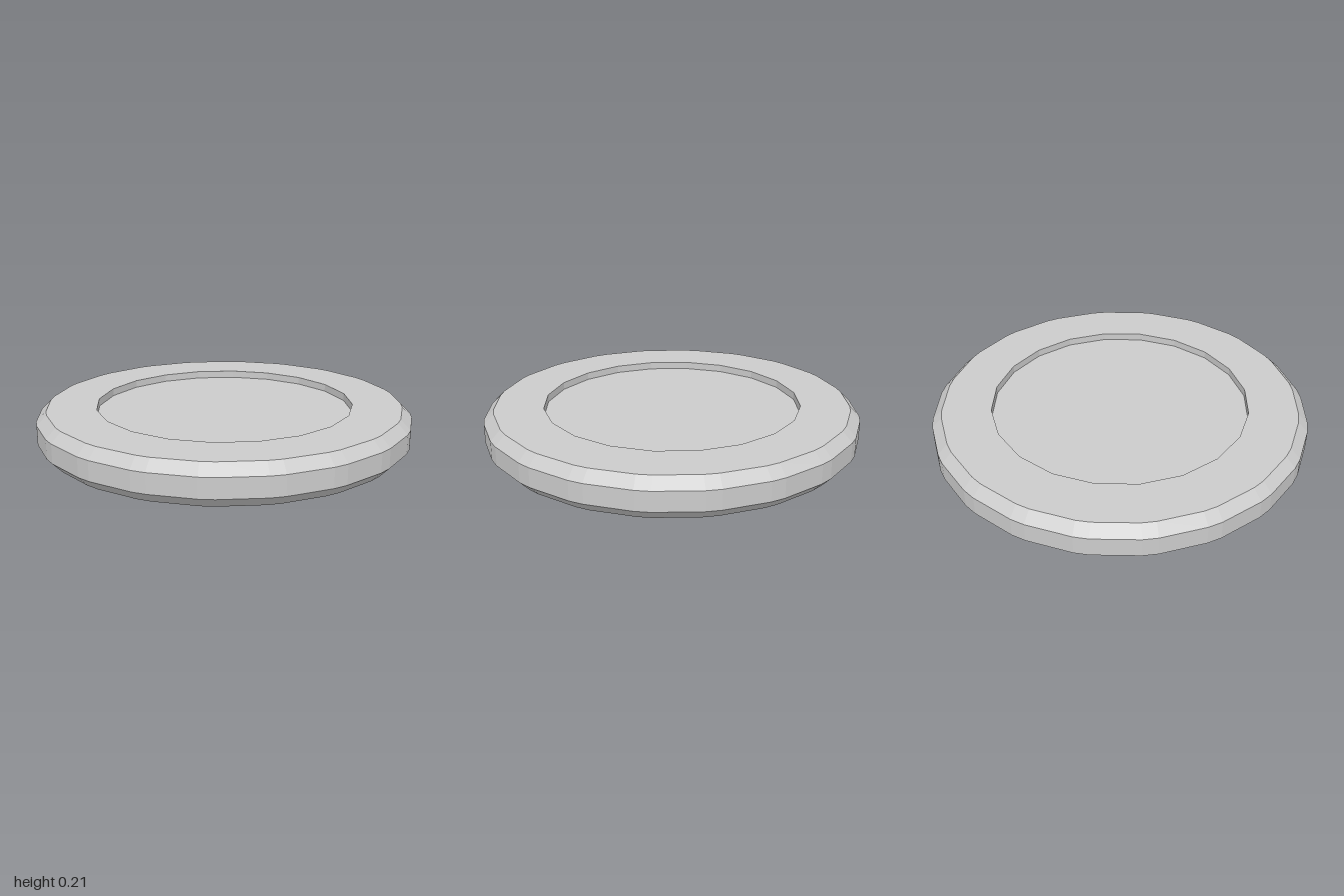
import * as THREE from 'three';

const SIDES = 20;
const HOLE = 0.687;

// Profile of the rim: [radius, height], from lower recess round to upper recess
const PROFILE = [
  [HOLE, 0.03], [HOLE, 0], [0.947, 0], [1, 0.055],
  [1, 0.157], [0.947, 0.21], [HOLE, 0.21], [HOLE, 0.17],
];

// 20-sided ring whose outer corners are each cut by a narrow facet
function rimGeometry() {
  const points = PROFILE.map(([r, y]) => new THREE.Vector2(r, y));
  const lathe = new THREE.LatheGeometry(points, SIDES * 2);
  const pos = lathe.attributes.position;
  const step = (Math.PI * 2) / SIDES;
  for (let i = 0; i <= SIDES * 2; i++) {
    PROFILE.forEach(([r, y], j) => {
      const cut = r > HOLE ? 0.038 : 0; // the hole keeps sharp corners
      const a = Math.floor(i / 2) * step + (i % 2 ? cut : -cut);
      pos.setXYZ(i * PROFILE.length + j, r * Math.sin(a), y, r * Math.cos(a));
    });
  }
  const flat = lathe.toNonIndexed();
  flat.computeVertexNormals();
  return flat;
}

export function createModel() {
  const group = new THREE.Group();
  group.name = 'disc';
  const material = new THREE.MeshStandardMaterial({ color: 0xcccccc, flatShading: true });

  // Bevelled outer rim
  const rim = new THREE.Mesh(rimGeometry(), material);
  rim.name = 'rim';
  group.add(rim);

  // Panel recessed on both faces
  const panel = new THREE.Mesh(new THREE.CylinderGeometry(HOLE, HOLE, 0.14, SIDES), material);
  panel.name = 'centrePanel';
  panel.position.y = 0.1;
  group.add(panel);

  return group;
}
